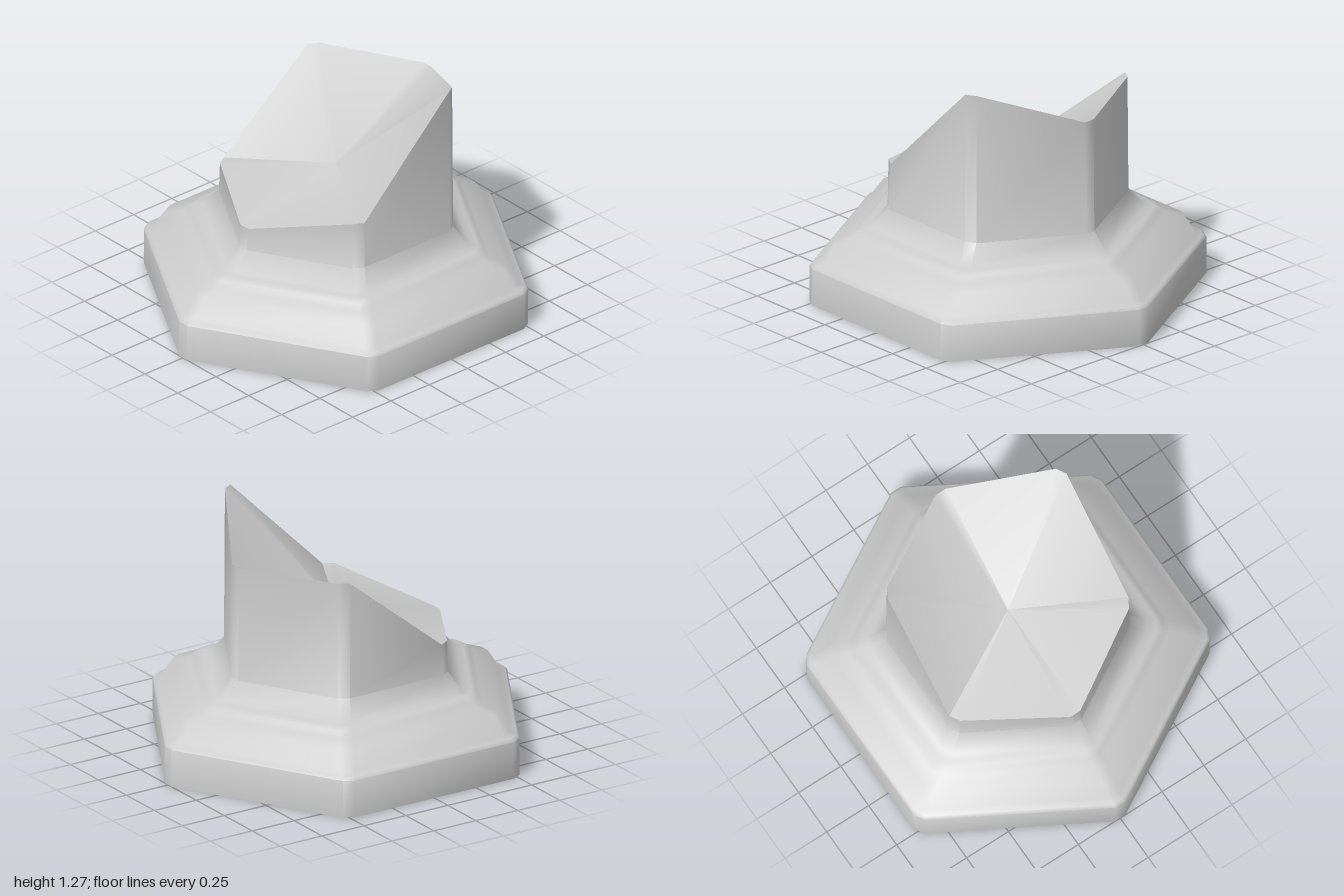
import * as THREE from 'three';
import { toCreasedNormals } from 'three/addons/utils/BufferGeometryUtils.js';

const CUT = 0.03; // half width of the small bevel on each hexagon corner
const SIDES = 6;

// Bevelled hexagon ring: r is the distance from the axis to a corner bevel.
// height is one number, or a list of one height per corner.
function hexRing(r, height) {
  const ring = [];
  for (let i = 0; i < SIDES; i++) {
    const a = (i * Math.PI) / 3; // from +x towards +z
    const y = Array.isArray(height) ? height[i] : height;
    for (const t of [-CUT, CUT]) {
      ring.push([
        r * Math.cos(a) - t * Math.sin(a),
        y,
        r * Math.sin(a) + t * Math.cos(a),
      ]);
    }
  }
  return ring;
}

function toGeometry(triangles, crease) {
  const g = new THREE.BufferGeometry();
  g.setAttribute('position', new THREE.Float32BufferAttribute(triangles.flat(2), 3));
  return toCreasedNormals(g, crease);
}

// Walls between consecutive rings, listed from bottom to top
function loft(rings) {
  const tris = [];
  for (let k = 0; k < rings.length - 1; k++) {
    const lo = rings[k], hi = rings[k + 1], n = lo.length;
    for (let i = 0; i < n; i++) {
      const j = (i + 1) % n;
      tris.push([lo[i], hi[i], lo[j]], [lo[j], hi[i], hi[j]]);
    }
  }
  return tris;
}

// Fan from a centre point to a ring
function cap(ring, centreY, up) {
  const c = [0, centreY, 0];
  return ring.map((p, i) => {
    const q = ring[(i + 1) % ring.length];
    return up ? [c, q, p] : [c, p, q];
  });
}

export function createModel() {
  const group = new THREE.Group();
  const material = new THREE.MeshStandardMaterial({ color: 0xcccccc });
  const add = (name, geometry) => {
    const mesh = new THREE.Mesh(geometry, material);
    mesh.name = name;
    group.add(mesh);
  };

  // Moulded plinth profile: [corner radius, height]
  const profile = [
    [1.0, 0], [1.0, 0.195], [0.985, 0.21], [0.95, 0.22],
    [0.885, 0.318], [0.8, 0.34], [0.77, 0.368], [0.735, 0.387],
    [0.69, 0.392], [0.605, 0.48],
  ].map(([r, y]) => hexRing(r, y));

  // Broken top edge: one height per corner, from +x round through +z
  const brokenEdge = hexRing(0.6, [1.08, 1.27, 0.73, 0.6, 0.645, 1.09]);

  // Plinth and shaft walls in one piece so the moulding blends into the shaft
  add('plinthAndShaft', toGeometry(loft([...profile, brokenEdge]), 0.85));

  // Slanted fracture surface dipping to the centre
  add('brokenTop', toGeometry(cap(brokenEdge, 0.74, true), 0.6));

  // Flat underside
  add('underside', toGeometry(cap(profile[0], 0, false), 0.6));

  return group;
}
